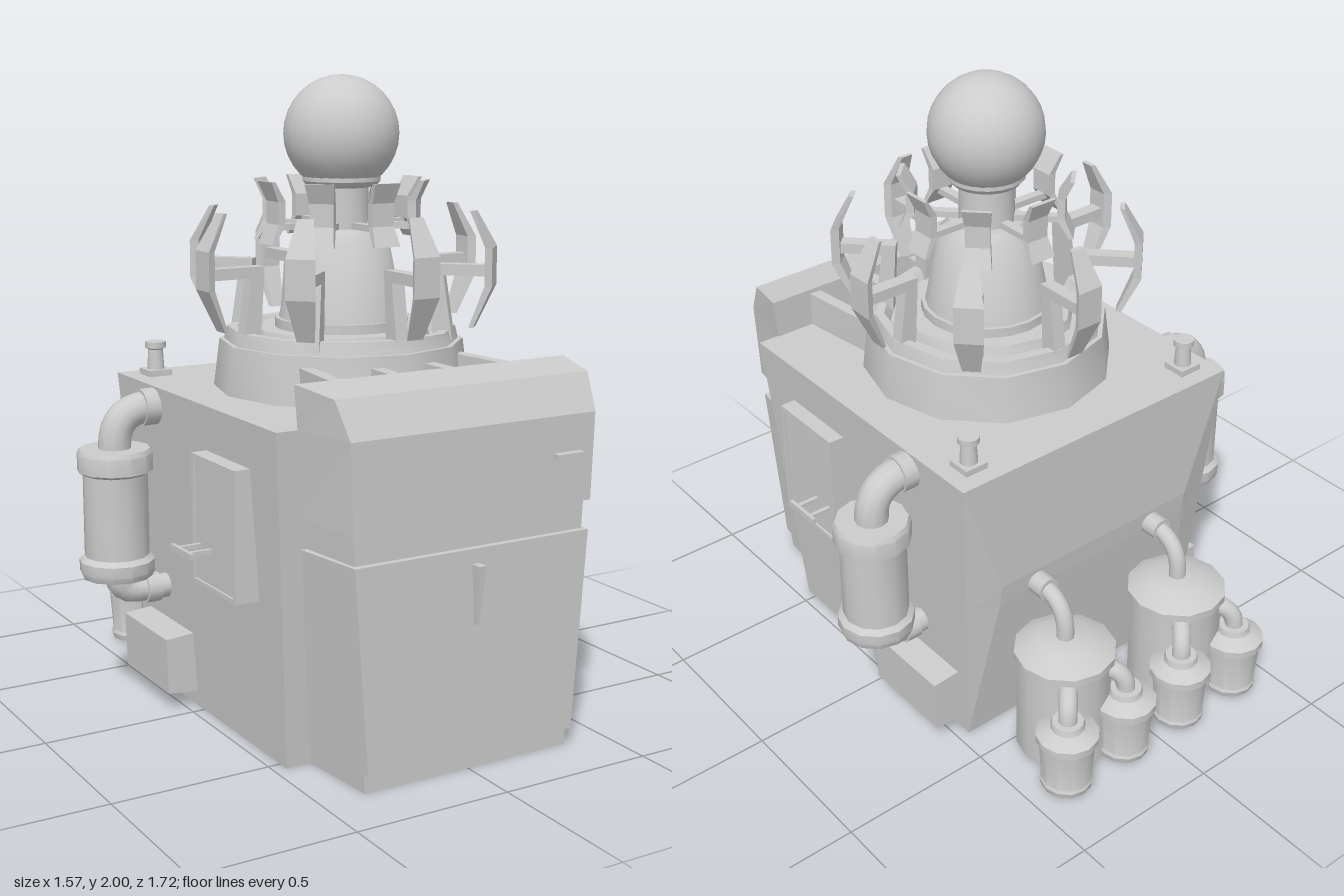
import * as THREE from 'three';
import { toCreasedNormals } from 'three/addons/utils/BufferGeometryUtils.js';

const mat = new THREE.MeshStandardMaterial({ color: 0xcccccc, side: THREE.DoubleSide });
const V = (x, y, z) => new THREE.Vector3(x, y, z);

function add(parent, name, geo) {
  const m = new THREE.Mesh(geo, mat);
  m.name = name;
  parent.add(m);
  return m;
}

function group(parent, name) {
  const g = new THREE.Group();
  g.name = name;
  parent.add(g);
  return g;
}

// Flat-faced skin through rings of corners, listed front-left round to back-left, going up
function loft(rings, openBottom = false) {
  const pos = [];
  const tri = (...p) => p.forEach((v) => pos.push(v.x, v.y, v.z));
  const n = rings[0].length;
  for (let i = 0; i < rings.length - 1; i++) {
    for (let j = 0; j < n; j++) {
      const k = (j + 1) % n, lo = rings[i], hi = rings[i + 1];
      tri(lo[j], lo[k], hi[k]);
      tri(lo[j], hi[k], hi[j]);
    }
  }
  const top = rings[rings.length - 1], bot = rings[0];
  for (let j = 1; j < n - 1; j++) {
    tri(top[0], top[j], top[j + 1]);
    if (!openBottom) tri(bot[0], bot[j + 1], bot[j]);
  }
  const g = new THREE.BufferGeometry();
  g.setAttribute('position', new THREE.Float32BufferAttribute(pos, 3));
  g.computeVertexNormals();
  return g;
}

// Trapezoid ring: half width at back and front, back and front z, back may sit higher
const trap = (y, xb, xf, zb, zf, yb = y) =>
  [V(-xf, y, zf), V(xf, y, zf), V(xb, yb, zb), V(-xb, yb, zb)];

const box = (w, h, d, x, y, z) => new THREE.BoxGeometry(w, h, d).translate(x, y, z);

// Turned part from [radius, y] pairs, bottom to top
const turned = (pts, sides = 12) =>
  toCreasedNormals(new THREE.LatheGeometry(pts.map((p) => new THREE.Vector2(...p)), sides), 0.6);

// Bent pipe: straight ends with a rounded corner at b
function pipe(a, b, c, r) {
  const p = new THREE.CurvePath();
  const bend = Math.min(a.distanceTo(b), b.distanceTo(c)) * 0.85;
  const s = b.clone().add(a.clone().sub(b).setLength(bend));
  const e = b.clone().add(c.clone().sub(b).setLength(bend));
  p.add(new THREE.LineCurve3(a, s));
  p.add(new THREE.QuadraticBezierCurve3(s, b, e));
  p.add(new THREE.LineCurve3(e, c));
  const path = new THREE.CatmullRomCurve3(p.getSpacedPoints(8));
  return new THREE.TubeGeometry(path, 10, r, 12);
}

function buildCabinet(root) {
  const ring = (y, x, zf, zb, k, zk) =>
    [V(-x, y, zf), V(x, y, zf), V(x, y, zb), V(k, y, zk), V(-k, y, zk), V(-x, y, zb)];
  // Flared body, open underneath, with a raised band across the back
  add(root, 'body', loft([
    ring(0, 0.46, 0.54, -0.39, 0.46, -0.39),
    ring(0.54, 0.497, 0.58, -0.432, 0.385, -0.46),
    ring(0.61, 0.501, 0.585, -0.437, 0.385, -0.468),
    ring(1.03, 0.53, 0.615, -0.47, 0.53, -0.47),
  ], true));
  add(root, 'foot', loft([trap(0, 0.38, 0.355, 0.53, 0.805), trap(0.06, 0.385, 0.36, 0.53, 0.805)], true));
  add(root, 'lowerDoor', loft([trap(0.06, 0.39, 0.36, 0.53, 0.83), trap(0.675, 0.44, 0.405, 0.57, 0.83)]));
  add(root, 'neck', loft([trap(0.675, 0.42, 0.395, 0.57, 0.81), trap(0.765, 0.425, 0.4, 0.57, 0.81)]));
  add(root, 'hood', loft([
    trap(0.765, 0.445, 0.41, 0.59, 0.83),
    trap(1.03, 0.46, 0.42, 0.61, 0.83),
    trap(1.14, 0.47, 0.435, 0.61, 0.77, 1.16),
  ]));
  add(root, 'hoodHandle', box(0.095, 0.02, 0.03, 0.317, 0.91, 0.84));
  add(root, 'doorHandle', loft([
    trap(0.45, 0.004, 0.004, 0.82, 0.845),
    trap(0.63, 0.013, 0.013, 0.82, 0.862),
  ]));
  // Ribs between hood and tower
  for (const x of [-0.31, -0.1, 0.1, 0.31]) {
    const e = x * 0.86, w = 0.02;
    const rib = (y, z) => [V(x - w, y, 0.63), V(x + w, y, 0.63), V(e + w, y, z), V(e - w, y, z)];
    add(root, 'rib', loft([rib(1.02, 0.31), rib(1.145, 0.29)]));
  }
  for (const s of [-1, 1]) {
    // Side hatch with raised rim and handle
    add(root, 'sideHatch', box(0.09, 0.4, 0.28, s * 0.52, 0.69, 0.3));
    for (const o of [-1, 1]) {
      add(root, 'hatchRim', box(0.01, 0.4, 0.014, s * 0.567, 0.69, 0.3 + o * 0.133));
      add(root, 'hatchRim', box(0.01, 0.014, 0.28, s * 0.567, 0.69 + o * 0.193, 0.3));
      add(root, 'handleRod', box(0.08, 0.014, 0.014, s * 0.605, 0.61, 0.235 + o * 0.035));
    }
    add(root, 'handleBar', box(0.012, 0.02, 0.135, s * 0.642, 0.61, 0.237));
    // Lower side box, its face leaning with the wall
    add(root, 'sideBox', loft([
      [V(-0.06, 0.05, 0.16), V(0.06, 0.06, 0.16), V(0.06, 0.06, -0.16), V(-0.06, 0.05, -0.16)],
      [V(-0.06, 0.25, 0.16), V(0.066, 0.24, 0.16), V(0.066, 0.24, -0.16), V(-0.06, 0.25, -0.16)],
    ])).position.set(s * 0.505, 0, -0.2);
    if (s < 0) root.children[root.children.length - 1].rotation.y = Math.PI;
    // Small vent on the roof
    const vent = group(root, 'roofVent');
    vent.position.set(s * 0.435, 1.03, -0.375);
    add(vent, 'ventBase', box(0.08, 0.02, 0.08, 0, 0.01, 0));
    add(vent, 'ventCap', turned([[0.028, 0.02], [0.024, 0.085], [0.034, 0.09], [0.034, 0.11], [0, 0.11]]));
  }
}

function buildTower(root) {
  const tower = group(root, 'tower');
  tower.position.z = 0.08;
  add(tower, 'towerBase', turned([
    [0.405, 1.02], [0.385, 1.18], [0.37, 1.18], [0.36, 1.22], [0.33, 1.22],
    [0.31, 1.19], [0.28, 1.19], [0.27, 1.22], [0.21, 1.22],
  ]));
  add(tower, 'cone', turned([
    [0.21, 1.2], [0.21, 1.25], [0.197, 1.25], [0.15, 1.49], [0.115, 1.53], [0.088, 1.53],
    [0.085, 1.655], [0.11, 1.66], [0.122, 1.675], [0.122, 1.69], [0.105, 1.705],
  ], 20));
  add(tower, 'ball', new THREE.SphereGeometry(0.18, 24, 16).translate(0, 1.82, 0));

  // Blade sections: [y, outer radius, inner radius, outer half width, inner half width]
  const blade = (rows) => loft(rows.map(([y, ro, ri, wo, wi]) => trap(y, wi, wo, ri, ro)));
  const outer = blade([
    [1.23, 0.425, 0.41, 0.028, 0.02], [1.36, 0.485, 0.46, 0.045, 0.033],
    [1.48, 0.485, 0.46, 0.045, 0.033], [1.59, 0.425, 0.41, 0.025, 0.02],
  ]);
  const inner = blade([
    [1.49, 0.272, 0.258, 0.045, 0.045], [1.55, 0.245, 0.22, 0.038, 0.038],
    [1.62, 0.245, 0.22, 0.038, 0.038], [1.68, 0.272, 0.258, 0.045, 0.045],
  ]);
  for (let i = 0; i < 8; i++) {
    const arm = group(tower, 'bladeArm');
    arm.rotation.y = (i * Math.PI) / 4;
    add(arm, 'outerBlade', outer);
    add(arm, 'innerBlade', inner);
    add(arm, 'post', loft([trap(1.19, 0.022, 0.022, 0.3, 0.36), trap(1.425, 0.022, 0.022, 0.285, 0.325)]));
    add(arm, 'outerStrut', box(0.044, 0.035, 0.165, 0, 1.408, 0.385));
    add(arm, 'innerStrut', box(0.03, 0.02, 0.16, 0, 1.54, 0.155));
  }
}

function buildSideCanisters(root) {
  for (const s of [-1, 1]) {
    const g = group(root, 'sideCanister');
    g.position.set(s * 0.665, 0, -0.195);
    g.rotation.y = s > 0 ? 0 : Math.PI;
    add(g, 'canister', turned([
      [0.05, 0.43], [0.112, 0.43], [0.12, 0.45], [0.12, 0.485], [0.103, 0.5],
      [0.103, 0.765], [0.12, 0.775], [0.12, 0.83], [0.112, 0.845], [0.05, 0.845],
    ]));
    add(g, 'topPipe', pipe(V(-0.16, 0.965, 0), V(0, 0.965, 0), V(0, 0.83, 0), 0.052));
    add(g, 'bottomPipe', pipe(V(-0.17, 0.37, 0), V(0, 0.37, 0), V(0, 0.45, 0), 0.04));
    for (const [y, r] of [[0.965, 0.06], [0.37, 0.048]])
      add(g, 'flange', new THREE.CylinderGeometry(r, r, 0.05, 12).rotateZ(Math.PI / 2).translate(-0.115, y, 0));
  }
}

function buildRearTanks(root) {
  for (const s of [-1, 1]) {
    const g = group(root, 'rearTank');
    g.position.set(s * 0.24, 0, -0.6);
    // Large tank, open underneath
    add(g, 'tank', turned([
      [0.152, 0.01], [0.152, 0.355], [0.162, 0.36], [0.162, 0.385], [0.09, 0.425], [0, 0.43],
    ]));
    add(g, 'tankPipe', pipe(V(0, 0.56, 0.14), V(0, 0.56, 0), V(0, 0.42, 0), 0.028));
    add(g, 'flange', new THREE.CylinderGeometry(0.038, 0.038, 0.06, 12).rotateX(Math.PI / 2).translate(0, 0.56, 0.11));
    // Pair of small canisters fed from the tank
    for (const o of [-1, 1]) {
      const c = group(g, 'smallCanister');
      c.position.set(o * 0.12, 0, -0.155);
      add(c, 'canister', turned([
        [0, 0.01], [0.08, 0.01], [0.085, 0.03], [0.08, 0.04], [0.09, 0.185], [0.1, 0.19],
        [0.1, 0.215], [0.055, 0.24], [0.05, 0.26], [0, 0.26],
      ]));
      add(c, 'canisterPipe', pipe(V(0, 0.24, 0), V(0, 0.325, 0), V(-o * 0.06, 0.335, 0.07), 0.03));
    }
  }
}

export function createModel() {
  const root = new THREE.Group();
  root.name = 'machine';
  buildCabinet(root);
  buildTower(root);
  buildSideCanisters(root);
  buildRearTanks(root);
  return root;
}
